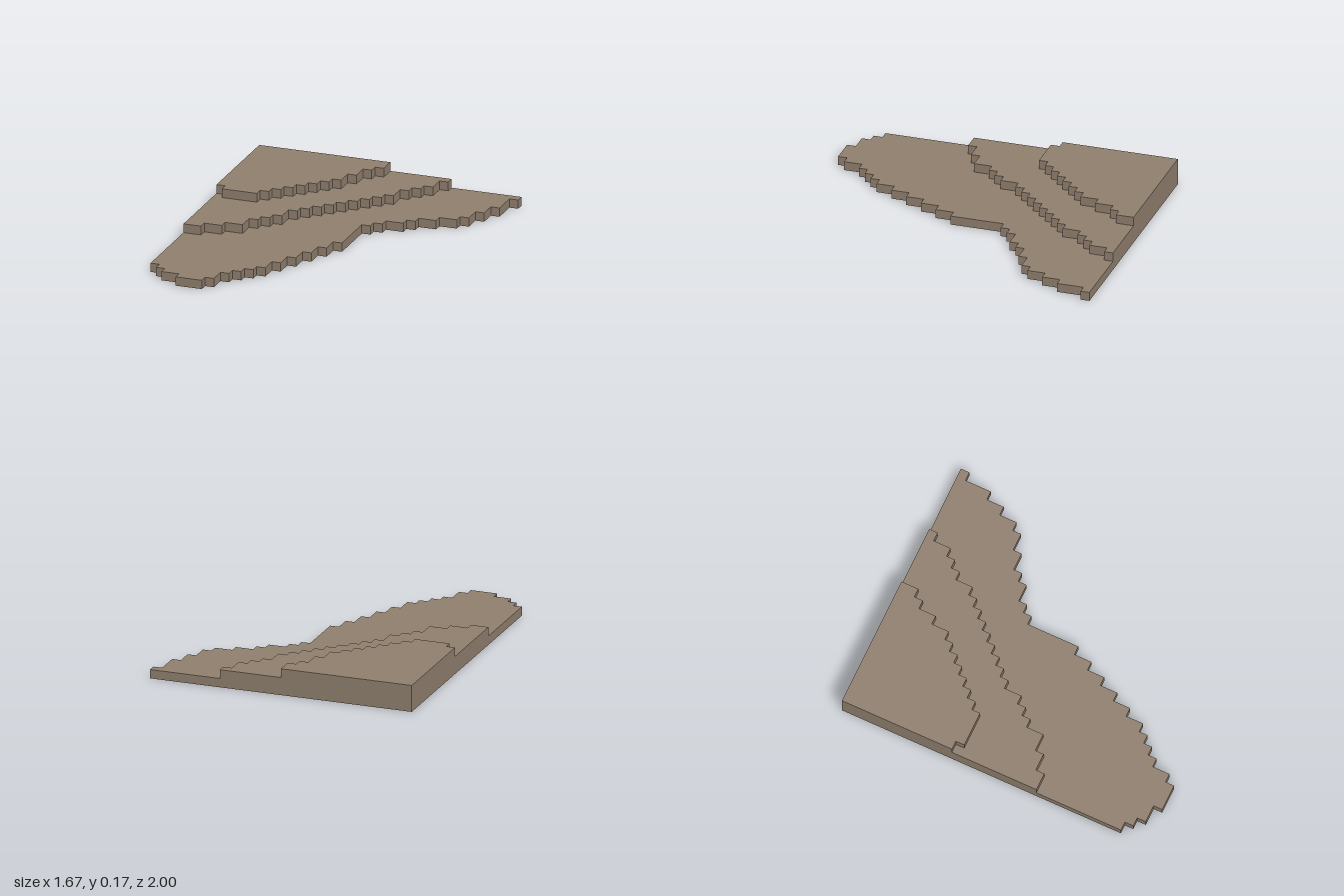
import * as THREE from 'three';

// Everything sits on a square grid: 30 columns (x), 36 rows (z), one cell per tier height
const CELL = 2 / 36, COLS = 30, ROWS = 36;

// Each edge is a list of [column, row]: the edge stays at that column down to that row.
// right: stepped edge from back to front; left: stepped front corner at the straight side.
const tiers = [
  {
    name: 'lowerTier',
    right: [[30, 1], [29, 4], [28, 6], [27, 8], [26, 9], [24, 10], [22, 11], [21, 12], [19, 13], [18, 14],
      [17, 20], [16, 22], [15, 24], [14, 26], [13, 28], [12, 30], [11, 31], [10, 32], [9, 33], [8, 35], [7, 36]],
    left: [[0, 33], [1, 34], [2, 35], [4, 36]],
  },
  {
    name: 'middleTier',
    right: [[22, 1], [21, 3], [20, 4], [19, 5], [18, 7], [17, 8], [16, 9], [15, 10], [14, 11], [13, 12],
      [12, 13], [11, 14], [10, 15], [9, 17], [8, 18], [7, 19], [6, 21], [4, 22], [2, 23]],
    left: [[0, 23]],
  },
  {
    name: 'upperTier',
    right: [[15, 2], [14, 3], [13, 5], [12, 7], [11, 8], [10, 9], [9, 10], [8, 11], [7, 12], [6, 13], [5, 14]],
    left: [[0, 13], [1, 14]],
  },
];

// Turns column runs into the corners of a staircase line, back to front
function staircase(runs) {
  const points = [];
  let row = 0;
  for (const [col, end] of runs) {
    points.push([col, row], [col, end]);
    row = end;
  }
  return points.map(([c, r]) => new THREE.Vector2((c - COLS / 2) * CELL, (ROWS / 2 - r) * CELL));
}

export function createModel() {
  const model = new THREE.Group();
  model.name = 'steppedTerrain';
  const earth = new THREE.MeshStandardMaterial({ color: 0x8f7f6e });
  earth.name = 'earth brown';

  // Stacked terraces, one cell thick each
  tiers.forEach(({ name, right, left }, level) => {
    const outline = new THREE.Shape([...staircase(left), ...staircase(right).reverse()]);
    const geometry = new THREE.ExtrudeGeometry(outline, { depth: CELL, bevelEnabled: false });
    geometry.rotateX(-Math.PI / 2);
    const tier = new THREE.Mesh(geometry, earth);
    tier.name = name;
    tier.position.y = level * CELL;
    model.add(tier);
  });
  return model;
}
